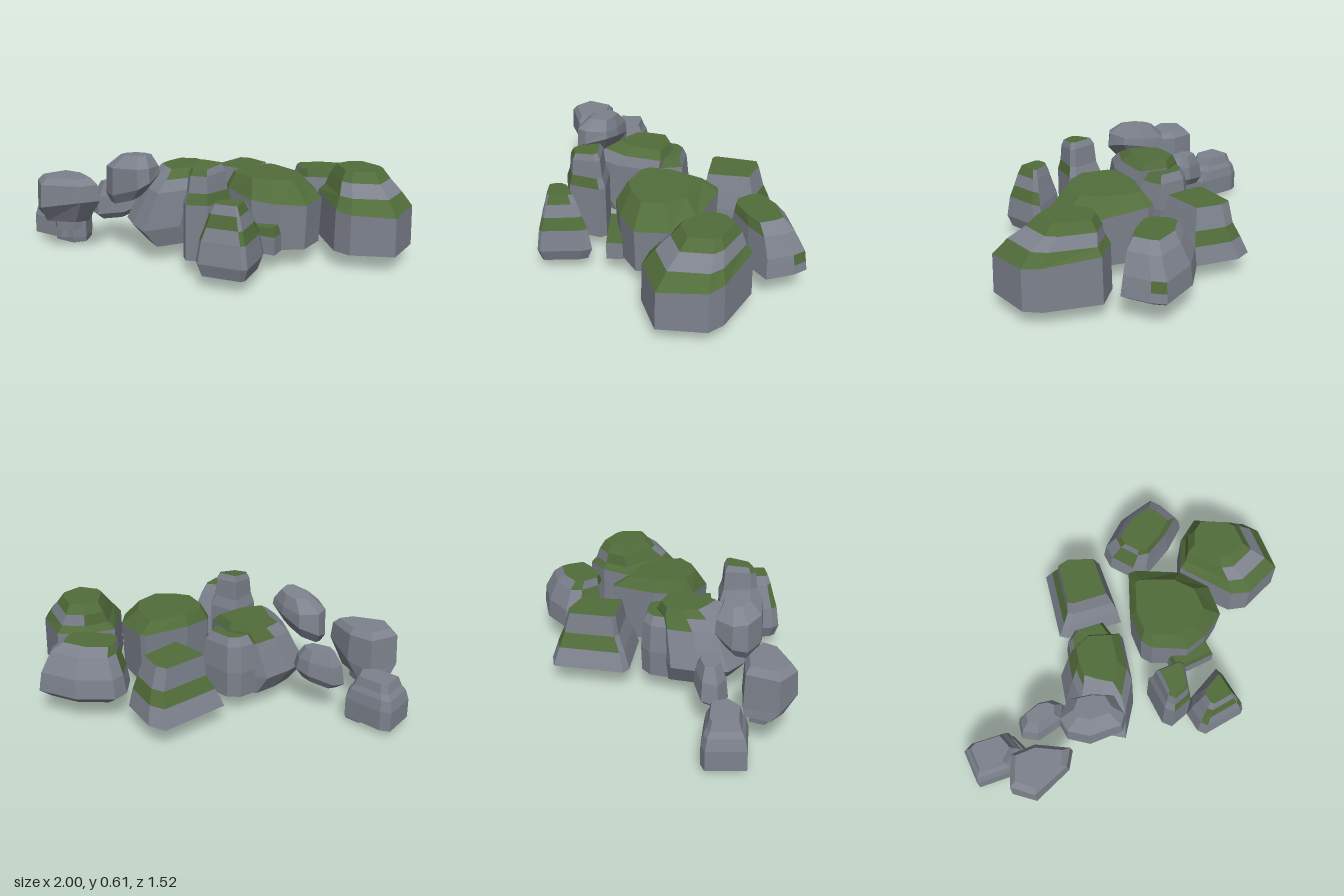
import * as THREE from 'three';

const stone = new THREE.MeshStandardMaterial({ color: 0x7d828d });
stone.name = 'stone grey';
const moss = new THREE.MeshStandardMaterial({ color: 0x526d3b });
moss.name = 'moss green';

// A faceted boulder: the outline [x, z] (clockwise from above) is scaled and moved level by level.
// level = [y, scale, centreX, centreZ, mossy, slopeX, slopeZ]
// mossy colours the band below that level: 1 for all sides, or a list of side numbers.
function boulder(name, outline, levels, mossyTop) {
  const n = outline.length;
  const mx = outline.reduce((s, p) => s + p[0], 0) / n;
  const mz = outline.reduce((s, p) => s + p[1], 0) / n;
  const rings = levels.map(([y, k, cx, cz, , sx = 0, sz = 0]) => outline.map(([x, z]) => {
    const dx = (x - mx) * k, dz = (z - mz) * k;
    return [(cx ?? mx) + dx, y + sx * dx + sz * dz, (cz ?? mz) + dz];
  }));
  const faces = { stone: [], moss: [] };
  const add = (mossy, ...pts) => faces[mossy ? 'moss' : 'stone'].push(...pts.flat());
  for (let l = 1; l < rings.length; l++) {
    const lo = rings[l - 1], hi = rings[l], m = levels[l][4];
    for (let i = 0; i < n; i++) {
      const j = (i + 1) % n;
      const mossy = Array.isArray(m) ? m.includes(i) : m;
      add(mossy, lo[j], lo[i], hi[i], lo[j], hi[i], hi[j]);
    }
  }
  const base = rings[0], top = rings[rings.length - 1];
  for (let i = 1; i < n - 1; i++) {
    add(false, base[0], base[i], base[i + 1]);
    add(mossyTop, top[0], top[i + 1], top[i]);
  }
  const geo = new THREE.BufferGeometry();
  geo.setAttribute('position', new THREE.Float32BufferAttribute([...faces.stone, ...faces.moss], 3));
  geo.addGroup(0, faces.stone.length / 3, 0);
  geo.addGroup(faces.stone.length / 3, faces.moss.length / 3, 1);
  geo.computeVertexNormals();
  const mesh = new THREE.Mesh(geo, [stone, moss]);
  mesh.name = name;
  return mesh;
}

export function createModel() {
  const group = new THREE.Group();
  group.name = 'mossyRocks';
  const _ = undefined;
  group.add(
    // stepped boulder at the front left
    boulder('steppedBoulder',
      [[.53, .19], [.71, .15], [.87, .20], [.93, .50], [.91, .60], [.70, .755], [.49, .63], [.45, .53]],
      [[.09, 1], [.33, .98, _, _, 0, 0, -.08], [.39, .80, .70, .42, 1], [.455, .63, .70, .38, [0, 7]],
        [.51, .48, .70, .37, 1]], true),
    // broad central boulder with its mossy foot
    boulder('centralBoulder',
      [[0, .08], [.14, -.02], [.39, -.09], [.42, -.06], [.49, .20], [.45, .38], [.30, .485], [.14, .43], [.03, .35], [-.02, .15]],
      [[.10, .96], [.39, 1, _, _, 0, -.04, -.12], [.48, .72, .21, .17, 1, -.05]], true),
    boulder('footStone',
      [[.02, .24], [.17, .44], [.10, .50], [-.06, .31]],
      [[.10, 1], [.20, .98], [.25, .85, _, _, 1]], true),
    // boulder at the back
    boulder('backBoulder',
      [[.02, -.43], [.38, -.62], [.46, -.55], [.53, -.31], [.20, -.09], [.02, -.38]],
      [[.11, 1], [.21, .86, .28, -.38], [.29, .71, .29, -.37, [0, 1, 2]], [.41, .60, .28, -.37]], true),
    // side boulder, undercut below
    boulder('sideBoulder',
      [[.53, -.24], [.60, -.30], [.81, -.25], [1, -.10], [.98, -.02], [.90, .12], [.73, .08], [.53, -.01], [.49, -.09]],
      [[.11, .76], [.15, 1], [.20, .97], [.26, .93, _, _, [3]], [.37, .74, .72, -.07, [8]],
        [.42, .58, .69, -.07, [0, 5, 6, 7]]], true),
    // pair of joined boulders behind the gap
    boulder('middleBoulder',
      [[-.52, -.18], [-.40, -.27], [-.25, -.34], [-.10, -.25], [-.03, -.02], [-.30, .11], [-.52, .12], [-.53, -.03]],
      [[.09, .84, -.27, -.10], [.20, 1], [.40, .85, -.26, -.10], [.46, .72, -.22, -.11, [1, 2]],
        [.505, .54, -.20, -.13, [0, 1, 2, 3, 4, 5]]], true),
    boulder('middleShoulder',
      [[-.24, -.28], [-.10, -.34], [-.02, -.32], [.08, -.16], [-.02, -.04], [-.14, 0]],
      [[.10, .97], [.25, 1], [.40, .88], [.45, .70, _, _, [3, 4]]], true),
    // tall stone and tapering stone at the front
    boulder('tallStone',
      [[-.20, .17], [-.08, .32], [-.09, .36], [-.26, .43], [-.36, .36], [-.35, .30]],
      [[.09, 1], [.40, .98], [.46, .82, _, _, [2, 3]], [.56, .74, _, _, 0, .05, -.1],
        [.595, .60, _, _, [3, 4], .08, -.1]], true),
    boulder('taperingStone',
      [[-.28, .43], [-.20, .42], [.02, .53], [-.01, .58], [-.17, .74], [-.20, .735], [-.37, .56], [-.36, .51]],
      [[.07, .85], [.14, 1], [.26, .88], [.33, .72, _, _, [2, 3, 4, 6]], [.40, .58, _, _, [5, 6]],
        [.45, .44, _, _, [3]]], true),
    // bare grey stones trailing away at the back right
    boulder('raisedStone',
      [[-.58, -.24], [-.46, -.23], [-.40, -.10], [-.38, .02], [-.47, .11], [-.54, .11], [-.64, -.05], [-.64, -.18]],
      [[.36, .70, -.53, -.08, 0, .45, .1], [.43, 1, _, _, 0, .45, .1], [.53, .95, _, _, 0, 0, .1],
        [.595, .55, -.49, -.07, 0, 0, .1]], false),
    boulder('lowStone',
      [[-.66, -.46], [-.58, -.50], [-.46, -.41], [-.42, -.33], [-.43, -.26], [-.52, -.24], [-.65, -.36]],
      [[.17, .70, _, _, 0, .25], [.21, 1, _, _, 0, .25], [.30, .88, _, _, 0, .1], [.37, .58]], false),
    // its underside rises towards the front and ends in a small keel
    boulder('overhangingStone',
      [[-.99, -.41], [-.81, -.46], [-.72, -.34], [-.69, -.14], [-.80, -.13], [-1, -.26]],
      [[.13, .42, -.83, -.34], [.18, .45, -.83, -.34], [.19, .72, -.84, -.34], [.28, 1, _, _, 0, 0, .3],
        [.42, .95], [.455, .75]], false),
    boulder('endStone',
      [[-.97, -.64], [-.81, -.77], [-.76, -.74], [-.64, -.55], [-.72, -.435], [-.85, -.46]],
      [[.03, 1], [.14, .99], [.20, .88], [.23, .74], [.28, .62]], false),
    boulder('pebbleBlock',
      [[-.87, -.54], [-.80, -.60], [-.70, -.60], [-.65, -.52], [-.71, -.42], [-.79, -.42]],
      [[0, .95], [.03, 1], [.13, 1], [.17, .8]], false),
  );
  return group;
}
